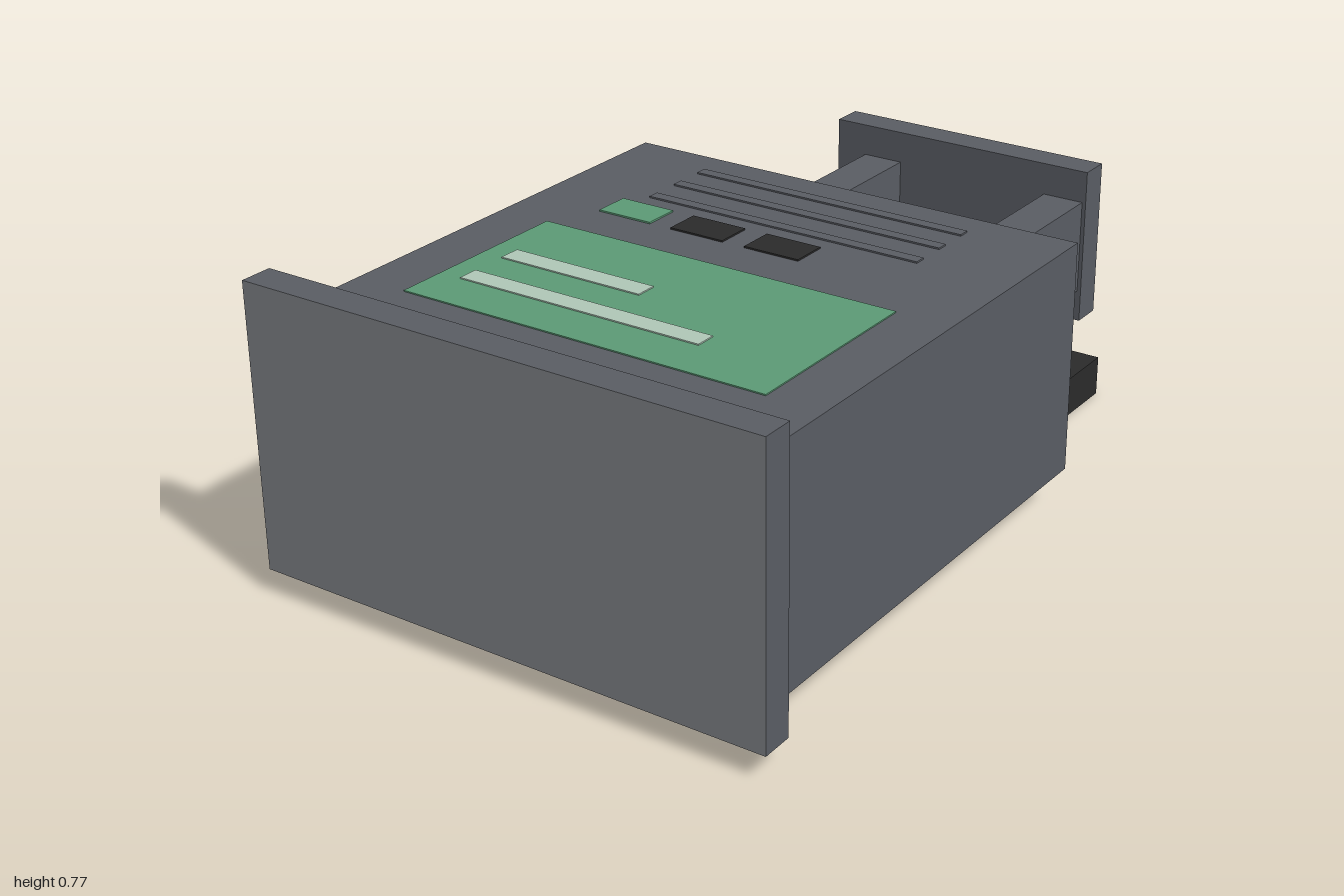
import * as THREE from 'three';

const material = (name, color) => new THREE.MeshStandardMaterial({ name, color });

export function createModel() {
  const group = new THREE.Group();
  const casing = material('casingGrey', 0x5a5d64);
  const face = material('faceGrey', 0x7e8185);
  const dark = material('darkPlastic', 0x2b2b2b);
  const green = material('screenGreen', 0x5c9b76);
  const pale = material('paleGreen', 0xb0c8b8);

  // Box given by its limits on each axis
  function box(name, mat, [x0, x1], [y0, y1], [z0, z1]) {
    const mesh = new THREE.Mesh(new THREE.BoxGeometry(x1 - x0, y1 - y0, z1 - z0), mat);
    mesh.position.set((x0 + x1) / 2, (y0 + y1) / 2, (z0 + z1) / 2);
    mesh.name = name;
    group.add(mesh);
    return mesh;
  }

  // Main housing and front flange, whose +z face is lighter
  const top = 0.69;
  box('housing', casing, [-0.62, 0.62], [0.105, top], [-0.375, 0.92]);
  const flangeMaterials = [casing, casing, casing, casing, face, casing];
  box('frontFlange', flangeMaterials, [-0.675, 0.675], [0.065, 0.772], [0.918, 1]);

  // Rear handle: two arms and a grip plate
  box('rightHandleArm', casing, [-0.29, -0.18], [0.317, 0.562], [-0.92, -0.375]);
  box('leftHandleArm', casing, [0.25, 0.36], [0.317, 0.562], [-0.92, -0.375]);
  box('handlePlate', casing, [-0.375, 0.37], [0.235, 0.645], [-1, -0.918]);

  // Rail under the housing
  box('lowerRail', dark, [0.29, 0.393], [0, 0.105], [-1, 0.25]);

  // Screen with two bars of content
  box('screen', green, [-0.48, 0.48], [top, top + 0.003], [0.205, 0.71]);
  box('shortScreenBar', pale, [-0.42, -0.033], [top + 0.003, top + 0.006], [0.39, 0.445]);
  box('longScreenBar', pale, [-0.42, 0.23], [top + 0.003, top + 0.006], [0.537, 0.59]);

  // Row of buttons
  [[-0.42, green], [-0.212, dark], [-0.003, dark]].forEach(([x, mat], i) =>
    box(`button${i + 1}`, mat, [x, x + 0.148], [top, top + 0.004], [-0.014, 0.08]));

  // Low ribs behind the buttons
  for (let i = 0; i < 3; i++) {
    const z = -0.29 + i * 0.1;
    box(`topRib${i + 1}`, casing, [-0.375, 0.375], [top, top + 0.004], [z, z + 0.03]);
  }

  return group;
}
